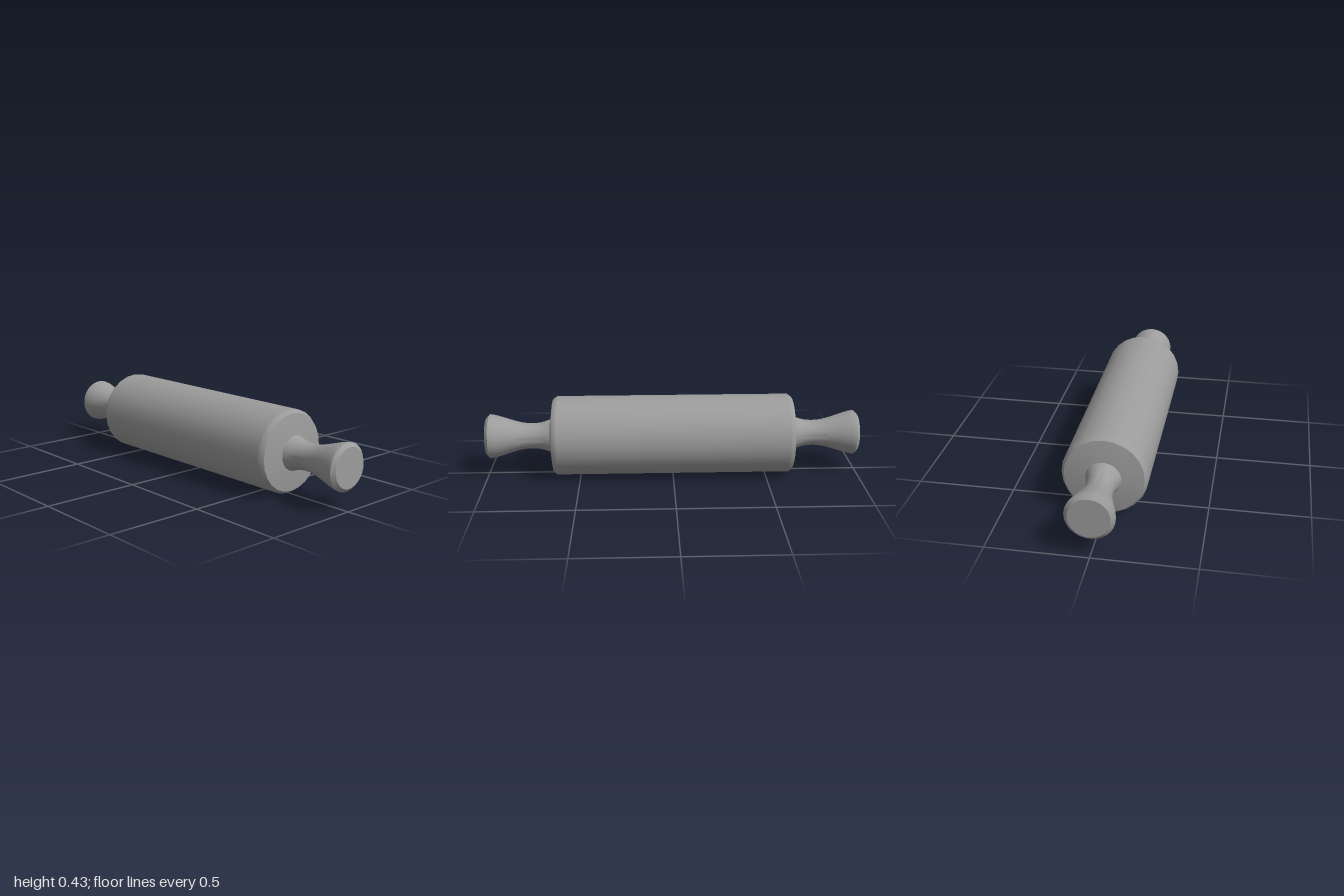
import * as THREE from 'three';
import { toCreasedNormals } from 'three/addons/utils/BufferGeometryUtils.js';

const AXIS_HEIGHT = 0.2125;
const material = new THREE.MeshStandardMaterial({ color: 0x9c9c9c });

// Turns a list of [x, radius] around the x axis, keeping hard edges sharp.
function turned(name, profile, sides) {
  const points = profile.map(([x, r]) => new THREE.Vector2(r, x));
  const geometry = new THREE.LatheGeometry(points, sides).rotateZ(-Math.PI / 2);
  const mesh = new THREE.Mesh(toCreasedNormals(geometry, 0.7), material);
  mesh.name = name;
  return mesh;
}

export function createModel() {
  const pin = new THREE.Group();
  pin.name = 'rollingPin';

  // Roller: softly bevelled rims and slightly conical ends
  const halfRoller = [
    [0.61, 0.2125], [0.62, 0.2125], [0.64, 0.198], [0.658, 0.085], [0.658, 0],
  ];
  const mirrored = halfRoller.map(([x, r]) => [-x, r]).reverse();
  const roller = turned('roller', [...mirrored, ...halfRoller], 24);
  roller.position.y = AXIS_HEIGHT;
  pin.add(roller);

  // Handle: waisted grip flaring to a bevelled flat end
  const grip = new THREE.SplineCurve([
    [0.64, 0.095], [0.67, 0.084], [0.71, 0.072], [0.76, 0.068],
    [0.81, 0.073], [0.86, 0.086], [0.92, 0.105], [0.96, 0.116], [0.982, 0.119],
  ].map(([x, r]) => new THREE.Vector2(x, r)));
  const handleProfile = [
    ...grip.getPoints(28).map((p) => [p.x, p.y]),
    [1, 0.1], [1, 0],
  ];
  for (const side of ['left', 'right']) {
    const handle = turned(side + 'Handle', handleProfile, 48);
    handle.position.y = AXIS_HEIGHT;
    if (side === 'right') handle.rotation.y = Math.PI;
    pin.add(handle);
  }
  return pin;
}
